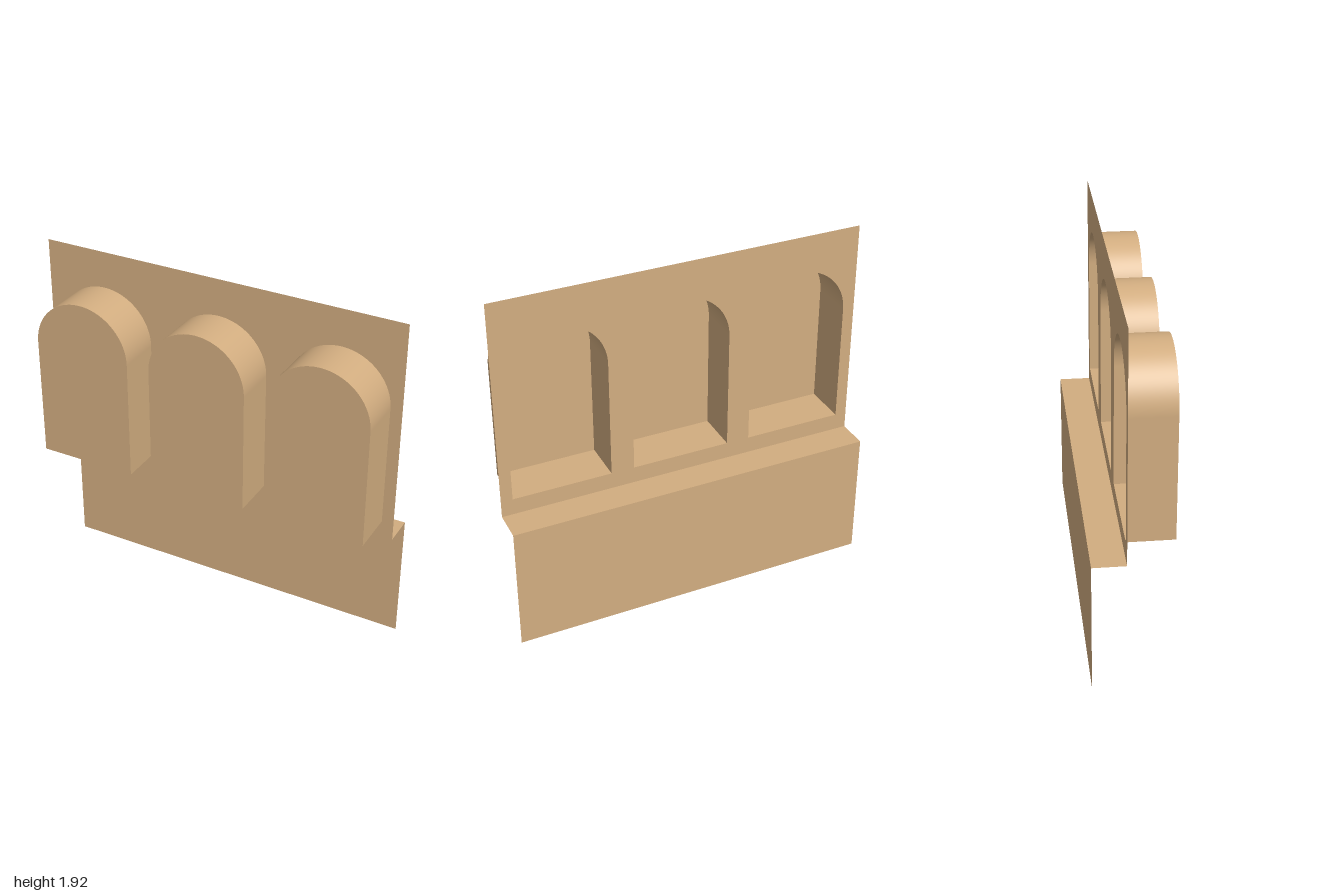
import * as THREE from 'three';

const material = new THREE.MeshStandardMaterial({ color: 0xd2ad80, side: THREE.DoubleSide });

const WALL_Z = -0.035, BASE_Z = -0.205, NICHE_Z = 0.205;
const LEDGE_Y = 0.705, TOP_Y = 1.925;
const SILL_Y = 0.797, SPRING_Y = 1.455, R = 0.27;
const DEPTH = NICHE_Z - WALL_Z, MID_Z = (NICHE_Z + WALL_Z) / 2;
const NICHE_X = [-0.667, 0, 0.667];

function add(parent, name, geometry, x = 0, y = 0, z = 0) {
  const mesh = new THREE.Mesh(geometry, material);
  mesh.name = name;
  mesh.position.set(x, y, z);
  parent.add(mesh);
  return mesh;
}

// Round-headed outline, used for the openings and the niche panels
function arch(PathType, cx) {
  const p = new PathType();
  p.moveTo(cx - R, SILL_Y);
  p.lineTo(cx + R, SILL_Y);
  p.lineTo(cx + R, SPRING_Y);
  p.absarc(cx, SPRING_Y, R, 0, Math.PI, false);
  p.lineTo(cx - R, SILL_Y);
  return p;
}

export function createModel() {
  const model = new THREE.Group();
  model.name = 'nicheWall';

  // Upper wall sheet with three arched openings
  const wall = new THREE.Shape();
  wall.moveTo(-1, LEDGE_Y);
  wall.lineTo(1, LEDGE_Y);
  wall.lineTo(1, TOP_Y);
  wall.lineTo(-1, TOP_Y);
  wall.closePath();
  for (const x of NICHE_X) wall.holes.push(arch(THREE.Path, x));
  add(model, 'upperWall', new THREE.ShapeGeometry(wall, 32), 0, 0, WALL_Z);

  // Ledge and lower wall sheet
  const ledge = new THREE.PlaneGeometry(2, WALL_Z - BASE_Z).rotateX(-Math.PI / 2);
  add(model, 'ledge', ledge, 0, LEDGE_Y, (WALL_Z + BASE_Z) / 2);
  add(model, 'lowerWall', new THREE.PlaneGeometry(2, LEDGE_Y), 0, LEDGE_Y / 2, BASE_Z);

  // Niches: open at the back, closed by an arched panel at the front
  for (const x of NICHE_X) {
    const niche = new THREE.Group();
    niche.name = 'niche';
    niche.position.x = x;
    model.add(niche);

    add(niche, 'nichePanel', new THREE.ShapeGeometry(arch(THREE.Shape, 0), 32), 0, 0, NICHE_Z);
    const vault = new THREE.CylinderGeometry(R, R, DEPTH, 64, 1, true, Math.PI / 2, Math.PI);
    add(niche, 'nicheVault', vault.rotateX(Math.PI / 2), 0, SPRING_Y, MID_Z);
    const sill = new THREE.PlaneGeometry(2 * R, DEPTH).rotateX(Math.PI / 2);
    add(niche, 'nicheSill', sill, 0, SILL_Y, MID_Z);
    for (const s of [-1, 1]) {
      const side = new THREE.PlaneGeometry(DEPTH, SPRING_Y - SILL_Y).rotateY(s * Math.PI / 2);
      add(niche, 'nicheSide', side, s * R, (SPRING_Y + SILL_Y) / 2, MID_Z);
    }
  }
  return model;
}
